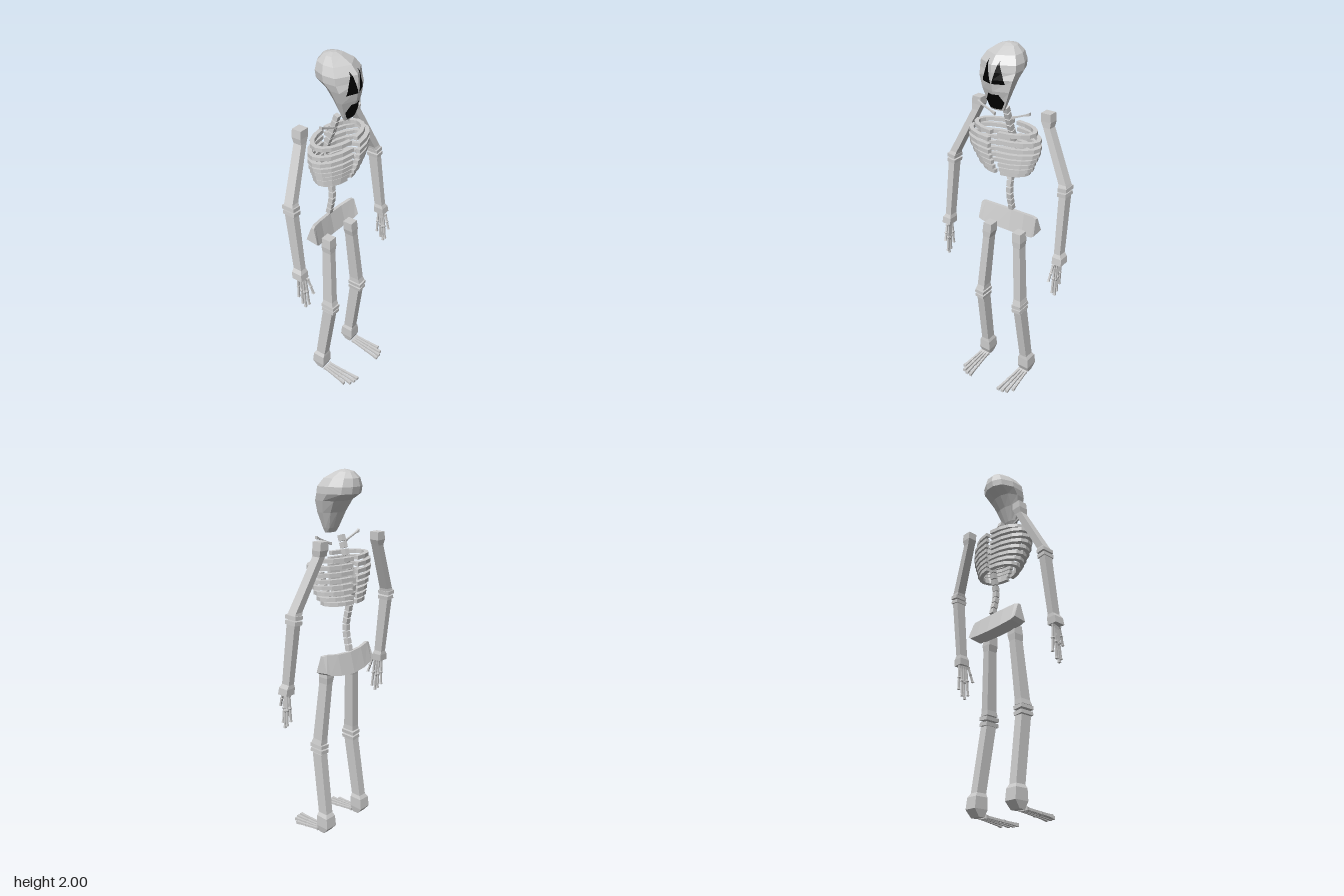
import * as THREE from 'three';

const bone = new THREE.MeshStandardMaterial({ color: 0xcccccc, flatShading: true });
const hollow = new THREE.MeshStandardMaterial({ color: 0x000000, side: THREE.DoubleSide });

// Closed, capped skin through rings of [x, y, z] points; faces always end up pointing outward
function loft(rings) {
  const n = rings[0].length, last = rings.length - 1, tris = [];
  for (let r = 0; r < last; r++) {
    for (let i = 0; i < n; i++) {
      const j = (i + 1) % n;
      const a = rings[r][i], b = rings[r][j], c = rings[r + 1][j], d = rings[r + 1][i];
      tris.push([a, b, c], [a, c, d]);
    }
  }
  for (let i = 1; i < n - 1; i++) {
    tris.push([rings[0][0], rings[0][i + 1], rings[0][i]]);
    tris.push([rings[last][0], rings[last][i], rings[last][i + 1]]);
  }
  let volume = 0;
  const V = (p) => new THREE.Vector3(...p);
  for (const [a, b, c] of tris) volume += V(a).dot(V(b).cross(V(c)));
  if (volume < 0) tris.forEach((t) => t.reverse());
  const geo = new THREE.BufferGeometry();
  geo.setAttribute('position', new THREE.Float32BufferAttribute(tris.flat(2), 3));
  geo.computeVertexNormals();
  return geo;
}

// Four-sided bone through stations [x, y, z, halfU, halfV], sections lying in the axes u and v
function shaft(stations, u = 0, v = 2) {
  return loft(stations.map(([x, y, z, hu, hv]) =>
    [[-1, -1], [1, -1], [1, 1], [-1, 1]].map(([a, b]) => {
      const p = [x, y, z];
      p[u] += a * hu;
      p[v] += b * hv;
      return p;
    })));
}

// Skull levels: y, half width, back z, front z
const levels = [
  [1.685, 0.038, 0.0, 0.025], [1.71, 0.05, -0.015, 0.035], [1.79, 0.08, -0.05, 0.06],
  [1.85, 0.098, -0.09, 0.07], [1.885, 0.105, -0.15, 0.07], [1.92, 0.104, -0.157, 0.065],
  [1.96, 0.083, -0.15, 0.03], [1.99, 0.045, -0.125, -0.03], [2.0, 0.015, -0.09, -0.06],
];
const skullPlan = [[0, 1], [1, 0.75], [1, 0.42], [0.72, 0.12], [0.25, 0], [-0.25, 0], [-0.72, 0.12], [-1, 0.42], [-1, 0.75]];

function faceZ(x, y) {
  const i = levels.findIndex((l, k) => y <= levels[k + 1][0]);
  const a = levels[i], b = levels[i + 1], t = (y - a[0]) / (b[0] - a[0]);
  const [, w, back, front] = a.map((q, k) => q + (b[k] - q) * t);
  return front - (front - back) * 0.25 * Math.abs(x) / w + 0.005;
}

// Dark patch on the face from rows [y, x0, x1]
function facePatch(rows, s) {
  const pos = [];
  const P = (x, y) => [s * x, y, faceZ(x, y)];
  for (let i = 0; i < rows.length - 1; i++) {
    const [y, a, b] = rows[i], [Y, A, B] = rows[i + 1];
    pos.push(...P(a, y), ...P(b, y), ...P(B, Y), ...P(a, y), ...P(B, Y), ...P(A, Y));
  }
  const geo = new THREE.BufferGeometry();
  geo.setAttribute('position', new THREE.Float32BufferAttribute(pos, 3));
  geo.computeVertexNormals();
  return geo;
}

// Half of a rib hoop, cut from a flat half ring
function rib(s, y, w, front, back) {
  const cz = (front + back) / 2, d = (front - back) / 2, outer = [], inner = [];
  for (let i = 0; i <= 8; i++) {
    const a = 0.12 + (Math.PI - 0.2) * i / 8, t = 0.024;
    outer.push(new THREE.Vector2(s * w * Math.sin(a), cz + d * Math.cos(a)));
    inner.unshift(new THREE.Vector2(s * (w - t) * Math.sin(a), cz + (d - t) * Math.cos(a)));
  }
  const geo = new THREE.ExtrudeGeometry(new THREE.Shape([...outer, ...inner]), { depth: 0.02, bevelEnabled: false });
  return geo.rotateX(Math.PI / 2).translate(0, y + 0.01, 0);
}

export function createModel() {
  const model = new THREE.Group();
  const add = (parent, name, geo, mat = bone) => {
    const mesh = new THREE.Mesh(geo, mat);
    mesh.name = name;
    parent.add(mesh);
    return mesh;
  };
  const group = (name) => {
    const g = new THREE.Group();
    g.name = name;
    model.add(g);
    return g;
  };

  // Head
  const head = group('head');
  add(head, 'skull', loft(levels.map(([y, w, back, front]) =>
    skullPlan.map(([x, t]) => [x * w, y, back + (front - back) * t]))));
  for (const s of [1, -1]) {
    const eye = [1.83, 1.85, 1.885, 1.92, 1.94].map((y) => {
      const t = (y - 1.83) / 0.11;
      return [y, 0.003 + 0.029 * t, 0.066 - 0.034 * t];
    });
    add(head, 'eyeSocket', facePatch(eye, s), hollow);
    add(head, 'mouth', facePatch([[1.695, 0, 0.033], [1.71, 0, 0.042], [1.735, 0, 0.054], [1.775, 0, 0.03]], s), hollow);
  }

  // Spine: a chain of small blocks on an S curve
  const spine = group('spine');
  const curve = new THREE.CatmullRomCurve3([
    [1.68, -0.055], [1.58, -0.09], [1.45, -0.135], [1.32, -0.115], [1.2, -0.095], [1.07, -0.118],
  ].map(([y, z]) => new THREE.Vector3(0, y, z)));
  const count = 17;
  for (let i = 0; i < count; i++) {
    const v = add(spine, 'vertebra', new THREE.BoxGeometry(0.028, 0.031, 0.028));
    const t = (i + 0.5) / count, dir = curve.getTangentAt(t);
    v.position.copy(curve.getPointAt(t));
    v.rotation.x = Math.atan2(-dir.z, -dir.y);
  }

  // Rib cage: y, half width, front z
  const ribs = group('ribCage');
  const hoops = [
    [1.57, 0.185, 0.05], [1.536, 0.215, 0.065], [1.5, 0.217, 0.065], [1.467, 0.21, 0.063],
    [1.435, 0.195, 0.056], [1.403, 0.178, 0.046], [1.372, 0.165, 0.034], [1.344, 0.142, 0.02],
  ];
  for (const [y, w, front] of hoops) for (const s of [1, -1]) add(ribs, 'rib', rib(s, y, w, front, -0.158));

  // Pelvis: a curved bar with its ends swept forward and up
  add(model, 'pelvis', loft([-1, -0.88, -0.5, 0, 0.5, 0.88, 1].map((k) => {
    const drop = 1 - k * k, tip = Math.abs(k) === 1 ? 0.008 : 0;
    return [[-0.082, 1.085 - tip], [-0.1, 1.085 - tip], [-0.13, 0.985 + tip], [-0.056, 0.975 + tip]].map(([z, y], i) =>
      [k * (i < 2 ? 0.18 : 0.185), y - drop * (i < 2 ? 0.018 : 0.028), z - drop * 0.028]);
  })));

  for (const s of [1, -1]) {
    const side = s > 0 ? 'left' : 'right';
    const limb = (parent, name, stations, u, v) =>
      add(parent, name, shaft(stations.map(([x, ...rest]) => [s * x, ...rest]), u, v));
    const pad = (parent, name, x, y, z, w, d) => {
      const m = add(parent, name, new THREE.BoxGeometry(w, 0.02, d));
      m.position.set(s * x, y, z);
      m.rotation.z = s * 0.1;
    };

    // Collar bone
    limb(model, side + 'CollarBone', [
      [0.052, 1.637, -0.035, 0.007, 0.008], [0.075, 1.646, -0.035, 0.004, 0.005],
      [0.135, 1.67, -0.035, 0.004, 0.005], [0.16, 1.68, -0.035, 0.008, 0.008],
    ], 1, 2);

    // Arm
    const arm = group(side + 'Arm');
    limb(arm, 'upperArm', [
      [0.213, 1.677, -0.118, 0.027, 0.027], [0.216, 1.635, -0.118, 0.029, 0.027],
      [0.222, 1.605, -0.113, 0.02, 0.024], [0.35, 1.345, -0.076, 0.022, 0.026],
      [0.355, 1.33, -0.074, 0.024, 0.03],
    ]);
    pad(arm, 'elbow', 0.357, 1.321, -0.073, 0.05, 0.072);
    pad(arm, 'elbow', 0.357, 1.293, -0.07, 0.05, 0.07);
    limb(arm, 'forearm', [
      [0.358, 1.285, -0.07, 0.02, 0.028], [0.366, 0.965, -0.03, 0.018, 0.025],
      [0.37, 0.945, -0.026, 0.027, 0.03], [0.373, 0.908, -0.022, 0.028, 0.031],
    ]);
    // Fingers: root x, y, z, then tip x, y, z
    const fingers = [
      [0.36, 0.91, 0.015, 0.352, 0.82, 0.045], [0.36, 0.908, 0.0, 0.36, 0.735, 0.018],
      [0.364, 0.908, -0.013, 0.366, 0.712, 0.0], [0.367, 0.908, -0.026, 0.367, 0.728, -0.018],
      [0.37, 0.908, -0.04, 0.366, 0.76, -0.045],
    ];
    for (const f of fingers) {
      limb(arm, 'finger', [[0, 0.007], [0.1, 0.005], [0.45, 0.005], [0.5, 0.008], [0.55, 0.005], [0.92, 0.005], [1, 0.007]].map(
        ([t, h]) => [0, 1, 2].map((k) => f[k] + (f[k + 3] - f[k]) * t).concat(h, h)));
    }

    // Leg
    const leg = group(side + 'Leg');
    limb(leg, 'thigh', [
      [0.097, 0.987, -0.048, 0.026, 0.028], [0.1, 0.935, -0.046, 0.028, 0.03],
      [0.103, 0.9, -0.044, 0.022, 0.028], [0.127, 0.575, -0.024, 0.023, 0.032],
      [0.13, 0.548, -0.02, 0.027, 0.036],
    ]);
    pad(leg, 'knee', 0.13, 0.533, -0.02, 0.058, 0.085);
    pad(leg, 'knee', 0.13, 0.503, -0.02, 0.056, 0.082);
    limb(leg, 'shin', [
      [0.131, 0.49, -0.024, 0.024, 0.032], [0.141, 0.14, -0.075, 0.024, 0.03],
      [0.143, 0.12, -0.08, 0.034, 0.037], [0.144, 0.06, -0.083, 0.036, 0.041],
      [0.144, 0.022, -0.075, 0.03, 0.018],
    ]);
    // Toes: root x, tip x, tip z
    for (const [a, b, z] of [[0.12, 0.104, 0.16], [0.136, 0.132, 0.158], [0.152, 0.158, 0.148], [0.167, 0.181, 0.115]]) {
      limb(leg, 'toe', [[0, 0.009], [0.08, 0.006], [0.5, 0.006], [0.55, 0.008], [0.6, 0.006], [0.85, 0.007], [1, 0.009]].map(
        ([t, h]) => [a + (b - a) * t, 0.029 - 0.02 * t, -0.045 + (z + 0.045) * t, h, h]), 0, 1);
    }
  }
  return model;
}
